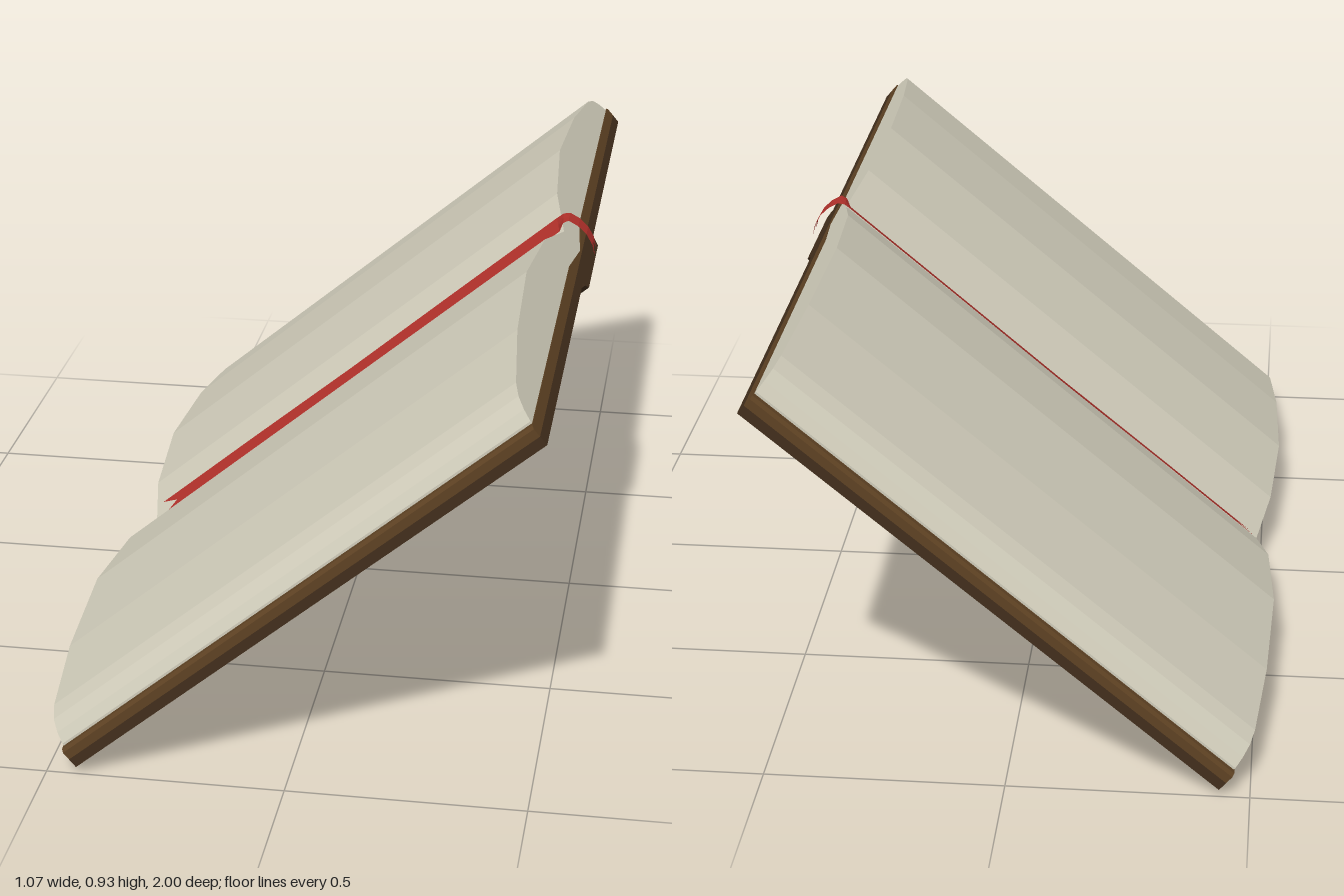
import * as THREE from 'three';

const LENGTH = 1.245;   // spine direction, local x
const paint = (color, side = THREE.FrontSide) =>
  new THREE.MeshStandardMaterial({ color, side, flatShading: true });

const leather = paint(0x422e1c);
const board = paint(0x5e4223);
const patch = paint(0x916a47);
const paper = paint(0xd0ccba);
const red = paint(0xb0302a, THREE.DoubleSide);

// Cross-section given as [z, y], swept along local x
function sweep(name, points, material, start = 0, length = LENGTH) {
  const shape = new THREE.Shape(points.map(([z, y]) => new THREE.Vector2(-z, y)));
  const geo = new THREE.ExtrudeGeometry(shape, { depth: length, bevelEnabled: false });
  geo.rotateY(Math.PI / 2).translate(start, 0, 0);
  const mesh = new THREE.Mesh(geo, material);
  mesh.name = name;
  return mesh;
}

// Mirror half a section to the other side of the gutter
const mirrored = (half) => half.concat(half.slice().reverse().map(([z, y]) => [-z, y]));

// Outer leather panel in the x-z plane, optionally with a cut-out
function panel(name, z0, z1, hole) {
  const shape = new THREE.Shape([[0, z0], [LENGTH, z0], [LENGTH, z1], [0, z1]]
    .map((p) => new THREE.Vector2(...p)));
  if (hole) shape.holes.push(new THREE.Path(hole.map((p) => new THREE.Vector2(...p))));
  const geo = new THREE.ExtrudeGeometry(shape, { depth: 0.022, bevelEnabled: false });
  geo.rotateX(Math.PI / 2).translate(0, 0.042, 0);
  const mesh = new THREE.Mesh(geo, leather);
  mesh.name = name;
  return mesh;
}

// Flat ribbon following [x, y] points, with a swallowtail notch at both ends
function ribbon() {
  const path = [[0.027, 0.109, 1], [0.3, 0.109, 1], [0.62, 0.107, 1], [0.95, 0.109, 1],
    [1.235, 0.11, 1], [1.254, 0.121, 0.3], [1.267, 0.118, 0], [1.276, 0.095, 0],
    [1.279, 0.069, 0], [1.274, 0.042, 0], [1.262, 0.018, 0]];
  const pos = [], index = [], last = path.length - 1;
  path.forEach(([x, y, tilt], i) => {
    for (let j = 0; j < 3; j++) {
      const z = -0.026 * j;
      let px = x, py = y + 0.32 * -z * tilt;
      if (j === 1 && i === 0) px += 0.045;
      if (j === 1 && i === last) { px = 1.273; py = 0.039; }
      pos.push(px, py, z);
      if (i < last && j < 2) {
        const a = i * 3 + j;
        index.push(a, a + 3, a + 1, a + 1, a + 3, a + 4);
      }
    }
  });
  const geo = new THREE.BufferGeometry();
  geo.setAttribute('position', new THREE.Float32BufferAttribute(pos, 3));
  geo.setIndex(index);
  geo.computeVertexNormals();
  const mesh = new THREE.Mesh(geo, red);
  mesh.name = 'ribbonBookmark';
  return mesh;
}

export function createModel() {
  const book = new THREE.Group();
  book.name = 'openBook';

  // Page block: two swelling halves meeting in the gutter
  const top = [[0.98, 0.072], [0.965, 0.094], [0.94, 0.115], [0.9, 0.129], [0.69, 0.159],
    [0.4, 0.175], [0.15, 0.15], [0, 0.104]];
  const under = [[0, 0.046], [0.14, 0.066], [0.98, 0.066]];
  for (const s of [1, -1]) {
    book.add(sweep(s > 0 ? 'leftPages' : 'rightPages',
      top.concat(under).map(([z, y]) => [s * z, y]), paper, 0.002, LENGTH - 0.004));
  }

  // Inner boards, dipping at the gutter
  const upper = [[1, 0.042], [1, 0.061], [0.992, 0.067], [0.14, 0.067], [0.001, 0.047]];
  book.add(sweep('coverBoards', mirrored(upper), board));

  // Leather panels; the right one has a window showing the lining
  const hole = [[1.213, -0.3], [1.207, -0.91], [0.855, -0.91], [0.45, -0.83],
    [0.047, -0.83], [0.047, -0.2], [0.404, -0.2], [0.84, -0.3]];
  book.add(panel('leftCover', 0.14, 1));
  book.add(panel('rightCover', -1, -0.14, hole));

  // Lining visible at the bottom of the window
  const liningShape = new THREE.Shape(hole.map((p) => new THREE.Vector2(...p)));
  const lining = new THREE.Mesh(
    new THREE.ShapeGeometry(liningShape).rotateX(Math.PI / 2).translate(0, 0.0405, 0), patch);
  lining.name = 'windowLining';
  book.add(lining);

  // Raised spine strip
  book.add(sweep('spine', mirrored([[0.145, 0.043], [0.145, 0.012], [0.132, 0]]), leather));

  book.add(ribbon());

  // Lean the whole book
  book.rotation.z = THREE.MathUtils.degToRad(40);
  book.position.set(-0.424, 0.002, 0);
  const model = new THREE.Group();
  model.name = 'book';
  model.add(book);
  return model;
}
